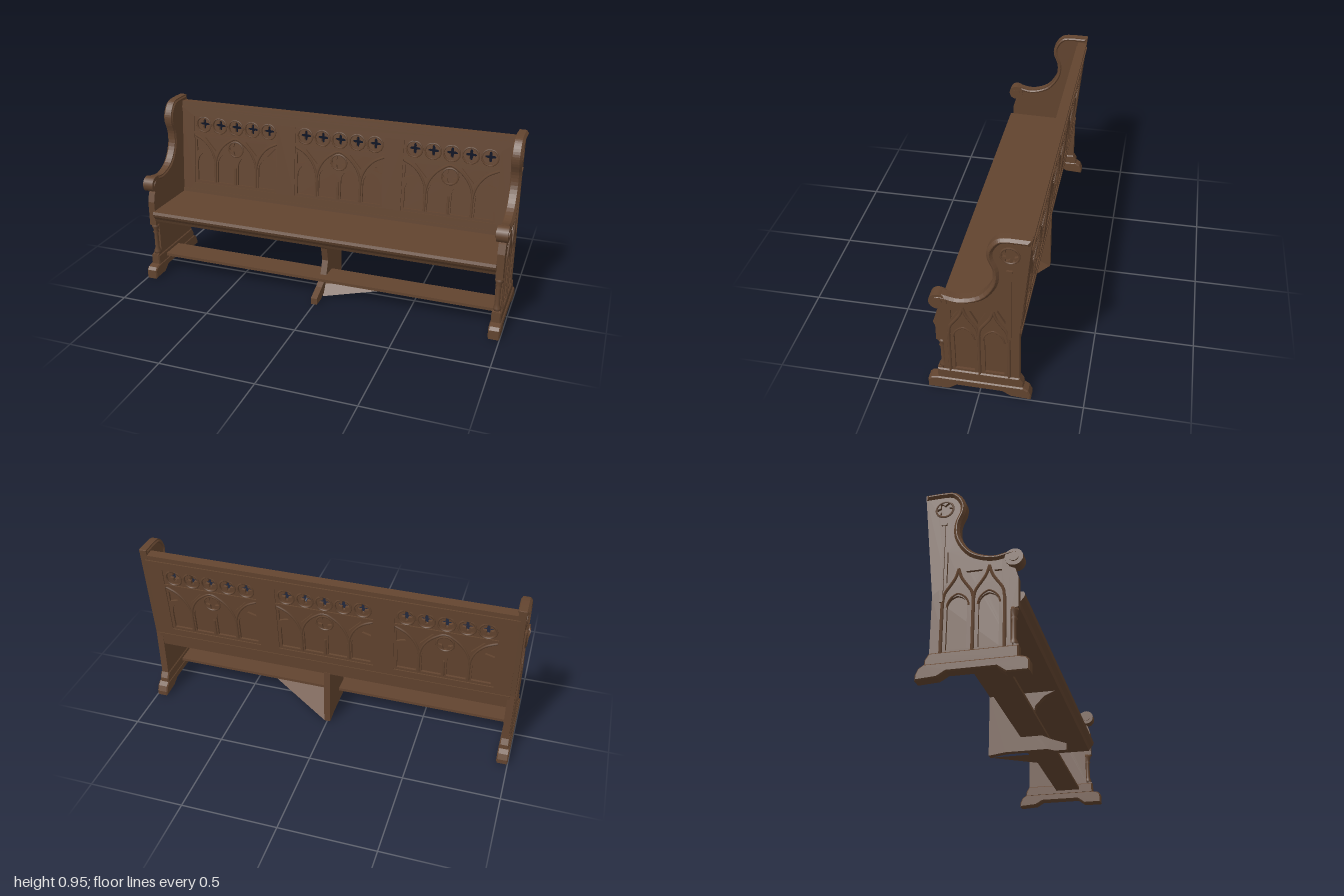
import * as THREE from 'three';

const wood = new THREE.MeshStandardMaterial({ color: 0x62442f });
wood.name = 'brown oak';

const V2 = (x, y) => new THREE.Vector2(x, y);
const poly = (pts) => new THREE.Shape(pts.map(([x, y]) => V2(x, y)));

function add(parent, name, geometry, x = 0, y = 0, z = 0) {
  const mesh = new THREE.Mesh(geometry, wood);
  mesh.name = name;
  mesh.position.set(x, y, z);
  parent.add(mesh);
  return mesh;
}
const box = (parent, name, w, h, d, x, y, z) =>
  add(parent, name, new THREE.BoxGeometry(w, h, d), x, y, z);

// Extrusion centred on its own depth, with an optional chamfer inside the outline
function plate(shape, depth, bevel = 0) {
  const geo = new THREE.ExtrudeGeometry(shape, {
    depth: depth - 2 * bevel, curveSegments: 8, bevelEnabled: bevel > 0,
    bevelThickness: bevel, bevelSize: bevel, bevelOffset: -bevel, bevelSegments: 1,
  });
  return geo.translate(0, 0, bevel - depth / 2);
}

// Points of a pointed arch, from left springing over the apex to the right
function archPoints(cx, spring, w, h, n = 7) {
  const R = (h * h + w * w) / (2 * w), left = [], right = [];
  for (let i = 0; i <= n; i++) {
    const y = (h * i) / n;
    const x = Math.sqrt(Math.max(R * R - y * y, 0)) - (R - w);
    left.push(V2(cx - x, spring + y));
    if (i < n) right.unshift(V2(cx + x, spring + y));
  }
  return [...left, ...right];
}
const lancet = (cx, bottom, spring, w, h) =>
  new THREE.Path([V2(cx - w, bottom), ...archPoints(cx, spring, w, h), V2(cx + w, bottom)]);

// Circle whose radius swells into a number of foils
function foil(cx, cy, r, swell, lobes, n = 32) {
  return new THREE.Path(Array.from({ length: n }, (_, i) => {
    const t = (i / n) * Math.PI * 2, q = r + swell * Math.cos(lobes * t);
    return V2(cx + q * Math.cos(t), cy + q * Math.sin(t));
  }));
}

const rib = (pts, r) => new THREE.TubeGeometry(
  new THREE.CatmullRomCurve3(pts, false, 'centripetal'), pts.length * 2, r, 5);

// One pierced and carved panel of the back, worked on both faces
function tracery(parent, cx) {
  const g = new THREE.Group();
  g.name = 'traceryPanel';
  g.position.x = cx;
  parent.add(g);
  const rect = () => poly([[-0.257, 0.45], [0.257, 0.45], [0.257, 0.845], [-0.257, 0.845]]);
  const core = rect(), face = rect();
  for (let i = -2; i <= 2; i++) {
    core.holes.push(foil(i * 0.1, 0.8, 0.021, 0.009, 4));
    face.holes.push(foil(i * 0.1, 0.8, 0.041, 0, 4, 20));
  }
  for (const x of [-0.191, -0.064, 0.064, 0.191]) face.holes.push(lancet(x, 0.465, 0.57, 0.05, 0.07));
  face.holes.push(foil(0, 0.675, 0.03, 0.01, 4));
  for (const s of [-1, 1]) {
    face.holes.push(new THREE.Path([V2(s * 0.127, 0.65), V2(s * 0.195, 0.725), V2(s * 0.059, 0.725)]));
    face.holes.push(new THREE.Path([V2(s * 0.245, 0.64), V2(s * 0.245, 0.71), V2(s * 0.195, 0.655)]));
  }
  add(g, 'panelCore', plate(core, 0.014));
  add(g, 'panelTracery', plate(face, 0.038));
  box(g, 'tracerybar', 0.514, 0.014, 0.05, 0, 0.748, 0);
  const big = archPoints(0, 0.56, 0.127, 0.175);
  for (const z of [-0.019, 0.019]) {
    const at = (p, dx) => new THREE.Vector3(p.x + dx, p.y, z);
    add(g, 'greatArch', rib(big.map((p) => at(p, 0)), 0.007));
    add(g, 'halfArchLeft', rib(big.slice(0, 8).map((p) => at(p, 0.254)), 0.007));
    add(g, 'halfArchRight', rib(big.slice(7).map((p) => at(p, -0.254)), 0.007));
    add(g, 'rosetteRing', new THREE.TorusGeometry(0.044, 0.005, 5, 20), 0, 0.675, z);
    for (let i = -2; i <= 2; i++)
      add(g, 'foilRing', new THREE.TorusGeometry(0.043, 0.005, 5, 20), i * 0.1, 0.8, z);
    for (const x of [-0.127, 0, 0.127])
      add(g, 'mullion', new THREE.CylinderGeometry(0.007, 0.007, 0.1, 6), x, 0.515, z);
  }
}

function buildBack() {
  const pivot = new THREE.Group(), g = new THREE.Group();
  pivot.name = 'backrest';
  pivot.position.set(0, 0.33, -0.162);
  pivot.rotation.x = -0.092;
  g.position.y = -0.33;
  pivot.add(g);
  const frame = poly([[-0.96, 0.33], [0.96, 0.33], [0.96, 0.9], [-0.96, 0.9]]);
  const centres = [-0.617, 0.003, 0.62];
  for (const c of centres) {
    frame.holes.push(new THREE.Path([V2(c - 0.257, 0.45), V2(c + 0.257, 0.45), V2(c + 0.257, 0.845), V2(c - 0.257, 0.845)]));
    tracery(g, c);
  }
  add(g, 'backFrame', plate(frame, 0.05));
  box(g, 'topRail', 1.92, 0.028, 0.05, 0, 0.912, 0);
  box(g, 'topMoulding', 1.92, 0.012, 0.062, 0, 0.894, 0);
  box(g, 'lowerMoulding', 1.92, 0.02, 0.058, 0, 0.4, 0);
  return pivot;
}

// Scrolled front and top edge of the end panel, as (z, y)
const armLine = new THREE.SplineCurve([[0.2, 0.59], [0.16, 0.592], [0.08, 0.58], [-0.01, 0.613], [-0.065, 0.69],
  [-0.073, 0.765], [-0.05, 0.83], [-0.05, 0.88], [-0.08, 0.93], [-0.125, 0.952], [-0.24, 0.952]]
  .map(([x, y]) => V2(x, y)));

function buildEnd(s) {
  const g = new THREE.Group();
  g.name = s > 0 ? 'leftEnd' : 'rightEnd';
  // Slab drawn in (z, y) and standing between two distances from the middle
  const slab = (name, shape, x0, x1, bevel = 0) => {
    const m = add(g, name, plate(shape, x1 - x0, bevel), s * (x0 + x1) / 2);
    m.rotation.y = -Math.PI / 2;
  };
  const arm = armLine.getPoints(40);
  const outline = () => new THREE.Shape([
    ...[[-0.192, 0.06], [0.2, 0.06], [0.2, 0.13], [0.165, 0.14], [0.165, 0.3], [0.2, 0.31], [0.2, 0.45],
      [0.185, 0.5], [0.155, 0.515], [0.19, 0.575]].map(([x, y]) => V2(x, y)),
    ...arm, V2(-0.245, 0.95), V2(-0.192, 0.41)]);
  slab('endCore', outline(), 0.948, 0.972);

  // Outer face cut with niches, spandrels and a rosette
  const face = outline();
  for (const c of [0.068, -0.075]) face.holes.push(lancet(c, 0.135, 0.34, 0.046, 0.055));
  face.holes.push(foil(-0.15, 0.86, 0.03, 0.008, 6, 36));
  for (const t of [[[0, 0.44], [0.038, 0.515], [-0.038, 0.515]], [[0.125, 0.45], [0.125, 0.505], [0.09, 0.505]],
    [[-0.128, 0.46], [-0.128, 0.63], [-0.09, 0.53]]])
    face.holes.push(new THREE.Path(t.map(([x, y]) => V2(x, y))));
  slab('endFace', face, 0.972, 0.985);

  // Ogee gables, shafts and the tall pinnacle
  const X = s * 0.985;
  for (const c of [0.068, -0.072]) {
    for (const m of [-1, 1]) {
      const curve = [[0.07, 0.36], [0.062, 0.41], [0.036, 0.45], [0.014, 0.485], [0, 0.53]];
      add(g, 'ogeeRib', rib(curve.map(([z, y]) => new THREE.Vector3(X, y, c + m * z)), 0.008));
    }
    add(g, 'nicheRib', rib(archPoints(c, 0.34, 0.05, 0.065).map((p) => new THREE.Vector3(X, p.y, p.x)), 0.005));
  }
  for (const z of [0.139, -0.002, -0.143])
    add(g, 'shaft', new THREE.CylinderGeometry(0.008, 0.008, 0.25, 6), X, 0.24, z);
  box(g, 'pinnacle', 0.014, 0.4, 0.014, X, 0.57, -0.148);
  box(g, 'pinnacleCap', 0.02, 0.012, 0.026, X, 0.775, -0.148);
  const ring = add(g, 'rosetteRing', new THREE.TorusGeometry(0.041, 0.005, 5, 24), X, 0.86, -0.15);
  ring.rotation.y = Math.PI / 2;

  // Chamfered moulding following the scrolled edge
  const inner = arm.map((p, i) => {
    const t = armLine.getTangent(i / 40);
    return V2(p.x - t.y * 0.028, p.y + t.x * 0.028);
  }).reverse();
  slab('armMoulding', new THREE.Shape([...arm, ...inner]), 0.942, 0.997, 0.012);
  for (const [r, w] of [[0.042, 0.058], [0.022, 0.068]]) {
    const scroll = add(g, 'armScroll', new THREE.CylinderGeometry(r, r, w, 20), s * 0.966, 0.554, 0.18);
    scroll.rotation.z = Math.PI / 2;
  }

  // Small column on the front edge
  const profile = [[0, 0.13], [0.02, 0.13], [0.02, 0.145], [0.012, 0.165], [0.012, 0.255], [0.018, 0.262],
    [0.012, 0.27], [0.021, 0.295], [0.021, 0.31], [0, 0.31]].map(([x, y]) => V2(x, y));
  add(g, 'frontColumn', new THREE.LatheGeometry(profile, 12), s * 0.966, 0, 0.175);

  // Spreading foot with an arched underside
  slab('foot', poly([[0.25, 0], [0.25, 0.05], [0.235, 0.065], [0.2, 0.072], [-0.21, 0.072], [-0.235, 0.055],
    [-0.248, 0.025], [-0.248, 0], [-0.15, 0.006], [-0.11, 0.03], [0.11, 0.03], [0.15, 0]]), 0.94, 1, 0.006);
  slab('plinth', poly([[0.202, 0.065], [0.202, 0.125], [-0.192, 0.125], [-0.21, 0.095], [-0.212, 0.065]]), 0.943, 0.993, 0.006);
  return g;
}

export function createModel() {
  const model = new THREE.Group();
  model.name = 'pew';
  model.add(buildBack(), buildEnd(1), buildEnd(-1));

  // Seat with a moulded front edge
  const alongX = (name, pts, w) => {
    add(model, name, plate(poly(pts), w)).rotation.y = -Math.PI / 2;
  };
  alongX('seat', [[-0.16, 0.333], [0.19, 0.333], [0.198, 0.35], [0.215, 0.37], [0.221, 0.385], [0.215, 0.4],
    [-0.16, 0.392]], 1.9);

  // Middle support and the long floor rail
  alongX('middleSupport', [[-0.19, 0], [-0.1, 0.012], [0.12, 0.012], [0.16, 0], [0.22, 0], [0.22, 0.035], [0.14, 0.065],
    [0.07, 0.1], [0.04, 0.18], [0.06, 0.26], [0.11, 0.31], [0.17, 0.335], [-0.19, 0.335]], 0.034);
  box(model, 'floorRail', 1.9, 0.016, 0.14, 0, 0.096, 0.05);

  // Tapering brace from the middle support up to the rail
  const a = [0.015, 0, -0.19], b = [0.015, 0, 0.12], c = [0.45, 0.09, 0.05], d = [0.015, 0.06, 0.08], e = [0.015, 0.09, -0.02];
  const brace = new THREE.BufferGeometry();
  brace.setAttribute('position', new THREE.Float32BufferAttribute(
    [a, c, b, b, c, d, d, c, e, e, c, a].flat(), 3));
  brace.computeVertexNormals();
  add(model, 'brace', brace);
  return model;
}
